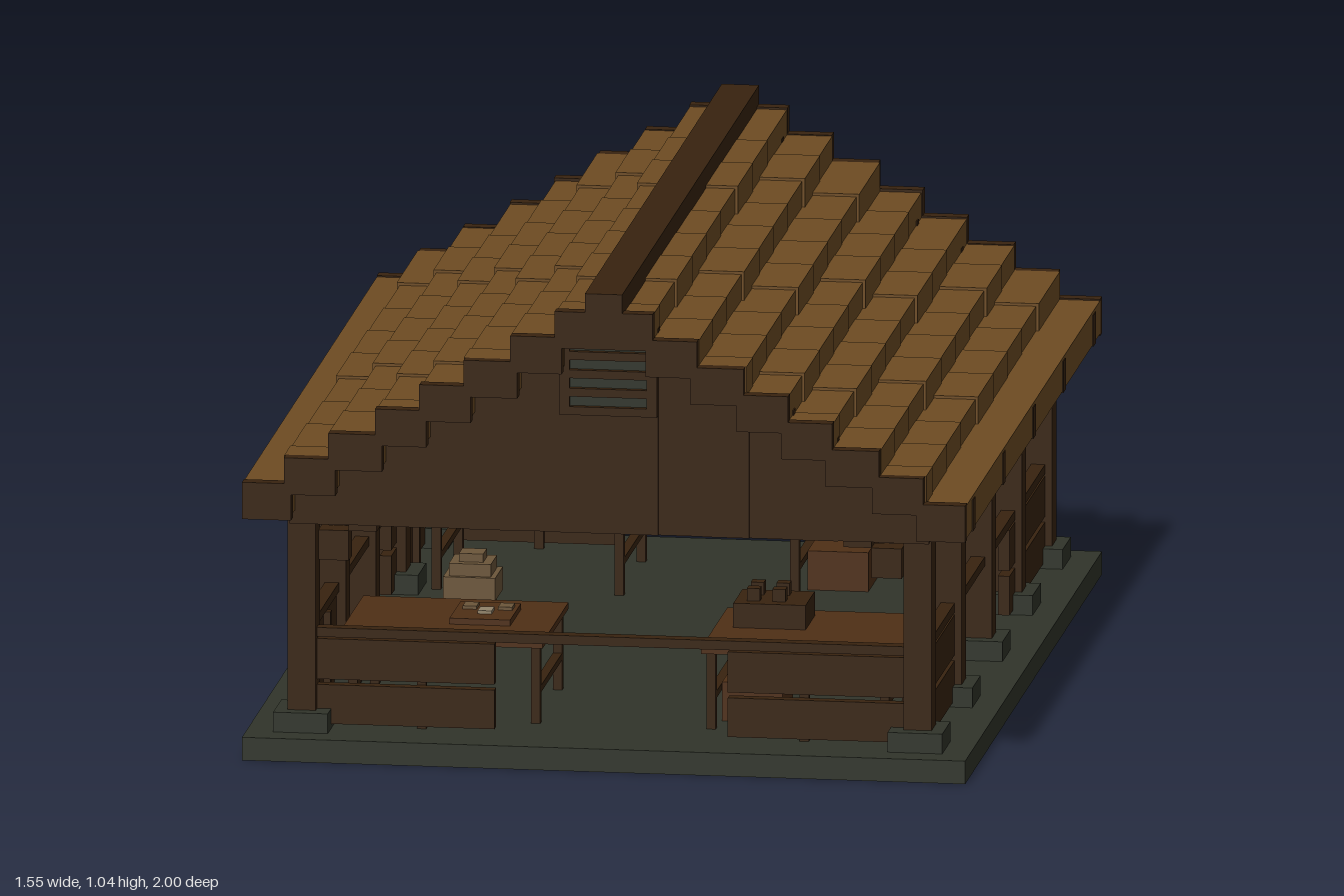
import * as THREE from 'three';

const mat = (name, color) => {
  const m = new THREE.MeshStandardMaterial({ color });
  m.name = name;
  return m;
};

export function createModel() {
  const model = new THREE.Group();
  model.name = 'marketPavilion';
  const dark = mat('darkTimber', 0x38230f);
  const plank = mat('roofPlank', 0x6e4c23);
  const table = mat('tableWood', 0x4f2f16);
  const stone = mat('stone', 0x30342a);
  const lightCloth = mat('lightCloth', 0x92836a);
  const tanCloth = mat('tanCloth', 0x6c563a);

  // box given by its minimum and maximum corners
  const box = (name, m, x0, x1, y0, y1, z0, z1, parent = model) => {
    const mesh = new THREE.Mesh(new THREE.BoxGeometry(Math.abs(x1 - x0), y1 - y0, Math.abs(z1 - z0)), m);
    mesh.position.set((x0 + x1) / 2, (y0 + y1) / 2, (z0 + z1) / 2);
    mesh.name = name;
    parent.add(mesh);
    return mesh;
  };
  const group = (name) => {
    const g = new THREE.Group();
    g.name = name;
    model.add(g);
    return g;
  };
  const sides = [-1, 1];
  const frames = [-0.88, -0.44, 0, 0.44, 0.88];

  // Floor slab
  box('floor', stone, -0.775, 0.775, 0, 0.05, -1, 1);

  // Roof steps: outer edge and top of each course
  const edges = [0.775, 0.685, 0.59, 0.49, 0.395, 0.3, 0.2, 0.105, 0.0];
  const tops = edges.map((_, i) => 0.605 + i * 0.0563);

  // Posts, footings, braces, tie beams and stepped rafters
  const frame = group('timberFrame');
  for (const z of frames) {
    for (const s of sides) {
      box('footing', stone, s * 0.6, s * 0.717, 0.05, 0.093, z - 0.06, z + 0.06, frame);
      box('post', dark, s * 0.63, s * 0.69, 0.09, 0.55, z - 0.031, z + 0.031, frame);
      box('lowerBrace', dark, s * 0.56, s * 0.625, 0.42, 0.485, z - 0.025, z + 0.025, frame);
      box('upperBrace', dark, s * 0.5, s * 0.56, 0.485, 0.53, z - 0.025, z + 0.025, frame);
      box('rafterTail', dark, s * 0.69, s * 0.777, 0.527, 0.595, z - 0.018, z + 0.018, frame);
      for (let i = 1; i < 8; i++) {
        box('rafter', dark, s * edges[i], s * (edges[i + 1] - 0.03), tops[i] - 0.13, tops[i] - 0.07, z - 0.018, z + 0.018, frame);
      }
    }
    box('tieBeam', dark, -0.69, 0.69, 0.5, 0.55, z - 0.03, z + 0.03, frame);
    box('kingPost', dark, -0.03, 0.03, 0.55, 0.95, z - 0.025, z + 0.025, frame);
  }
  for (const s of sides) box('wallPlate', dark, s * 0.63, s * 0.69, 0.505, 0.55, -0.915, 0.915, frame);

  // Roof courses of staggered boards, with dark end trim
  const roof = group('roof');
  for (const s of sides) {
    for (let i = 0; i < 8; i++) {
      const cuts = [-0.975];
      for (let z = -0.78 + (i % 2) * 0.11; z < 0.9; z += 0.222) cuts.push(z);
      cuts.push(0.975);
      for (let j = 0; j + 1 < cuts.length; j++) {
        const d = i === 0 ? 0 : (((j * 5 + i * 3) % 4) - 1.5) * 0.002;
        box('roofBoard', plank, s * (edges[i] + d), s * Math.max(0, edges[i + 1] - 0.012),
          tops[i] - 0.075, tops[i] - 0.003 + d, cuts[j], cuts[j + 1], roof);
      }
      for (const e of sides) {
        box('endTrim', dark, s * edges[i], s * Math.max(0, edges[i + 1] - 0.015), tops[i] - 0.08, tops[i], e * 0.97, e, roof);
      }
    }
  }
  box('ridge', dark, -0.04, 0.04, 0.96, 1.04, -1, 1, roof);

  // Gable walls of upright boards, each with a slatted vent
  for (const e of sides) {
    const gable = group('gable');
    for (const s of sides) {
      for (let i = 1; i < 8; i++) {
        const d = (i % 2) * 0.003;
        box('gableBoard', dark, s * Math.min(edges[i], 0.685), s * edges[i + 1], 0.5, tops[i] - 0.05, e * 0.89, e * (0.915 + d), gable);
      }
      box('ventSide', dark, s * 0.083, s * 0.105, 0.76, 0.94, e * 0.915, e * 0.935, gable);
    }
    box('ventBack', stone, -0.085, 0.085, 0.765, 0.935, e * 0.915, e * 0.922, gable);
    for (let k = 0; k < 5; k++) {
      const y = 0.76 + k * 0.04;
      box('ventSlat', dark, -0.1, 0.1, y, y + 0.018, e * 0.915, e * 0.935, gable);
    }
  }

  // Rails all round and low board walls at the corners
  const walls = group('lowWalls');
  for (const s of sides) {
    box('sideRail', dark, s * 0.645, s * 0.675, 0.25, 0.27, -0.86, 0.86, walls);
    box('endRail', dark, -0.64, 0.64, 0.25, 0.27, s * 0.865, s * 0.895, walls);
    for (const e of sides) {
      for (const [y0, y1] of [[0.06, 0.145], [0.157, 0.245]]) {
        box('endWallBoard', dark, s * 0.25, s * 0.635, y0, y1, e * 0.865, e * 0.89, walls);
        box('sideWallBoard', dark, s * 0.65, s * 0.675, y0, y1, e * 0.33, e * 0.855, walls);
      }
      box('wallStud', dark, s * 0.4, s * 0.42, 0.05, 0.25, e * 0.85, e * 0.865, walls);
      box('wallStud', dark, s * 0.635, s * 0.65, 0.05, 0.25, e * 0.64, e * 0.66, walls);
    }
  }

  // Corner tables with their goods
  for (const s of sides) {
    for (const e of sides) {
      const stall = group('stall');
      const inner = s < 0 ? 0.16 : 0.18;
      box('tableTop', table, s * inner, s * 0.6, 0.218, 0.232, e * 0.42, e * 0.8, stall);
      for (const x of [inner + 0.008, 0.56]) {
        for (const z of [0.44, 0.76]) {
          box('tableLeg', dark, s * x, s * (x + 0.02), 0.05, 0.218, e * z, e * (z + 0.02), stall);
        }
        box('stretcher', dark, s * x, s * (x + 0.02), 0.115, 0.13, e * 0.45, e * 0.77, stall);
      }
      if (s > 0) {
        box('crate', dark, 0.22, 0.375, 0.232, 0.285, e * 0.47, e * 0.605, stall);
        for (const x of [0.245, 0.3]) {
          for (const z of [0.49, 0.55]) box('jar', dark, x, x + 0.028, 0.285, 0.312, e * z, e * (z + 0.028), stall);
        }
        box('lowCrate', table, 0.21, 0.34, 0.05, 0.135, e * 0.55, e * 0.7, stall);
      } else {
        box('tray', table, -0.38, -0.25, 0.232, 0.245, e * 0.5, e * 0.66, stall);
        for (let k = 0; k < 3; k++) {
          box('goods', k % 2 ? lightCloth : tanCloth, -0.365 + k * 0.038, -0.335 + k * 0.038,
            0.245, 0.252, e * (0.53 + (k % 2) * 0.04), e * (0.57 + (k % 2) * 0.04), stall);
        }
      }
    }
  }

  // Stacked sacks at the inner side of the tables
  for (const e of sides) {
    const sack = group('sack');
    const layers = [[0.045, 0.05, 0.075], [0.056, 0.075, 0.125], [0.045, 0.125, 0.152], [0.026, 0.152, 0.17]];
    for (const [r, y0, y1] of layers) box('sackLayer', tanCloth, -0.47 - r, -0.47 + r, y0, y1, e * 0.295 - r, e * 0.295 + r, sack);
  }

  // Hanging cloth under the right eave
  const cloth = group('hangingCloth');
  const long = [0, 1, 0, 1, 1, 0, 1, 0];
  long.forEach((isLong, k) => {
    const z = -0.41 + k * 0.1025;
    box('clothPanel', isLong ? tanCloth : lightCloth, -0.772, -0.745, isLong ? 0.415 : 0.44, isLong ? 0.498 : 0.53, z, z + 0.1025, cloth);
    if (isLong) box('clothTop', lightCloth, -0.772, -0.745, 0.498, 0.53, z, z + 0.1025, cloth);
  });

  return model;
}
